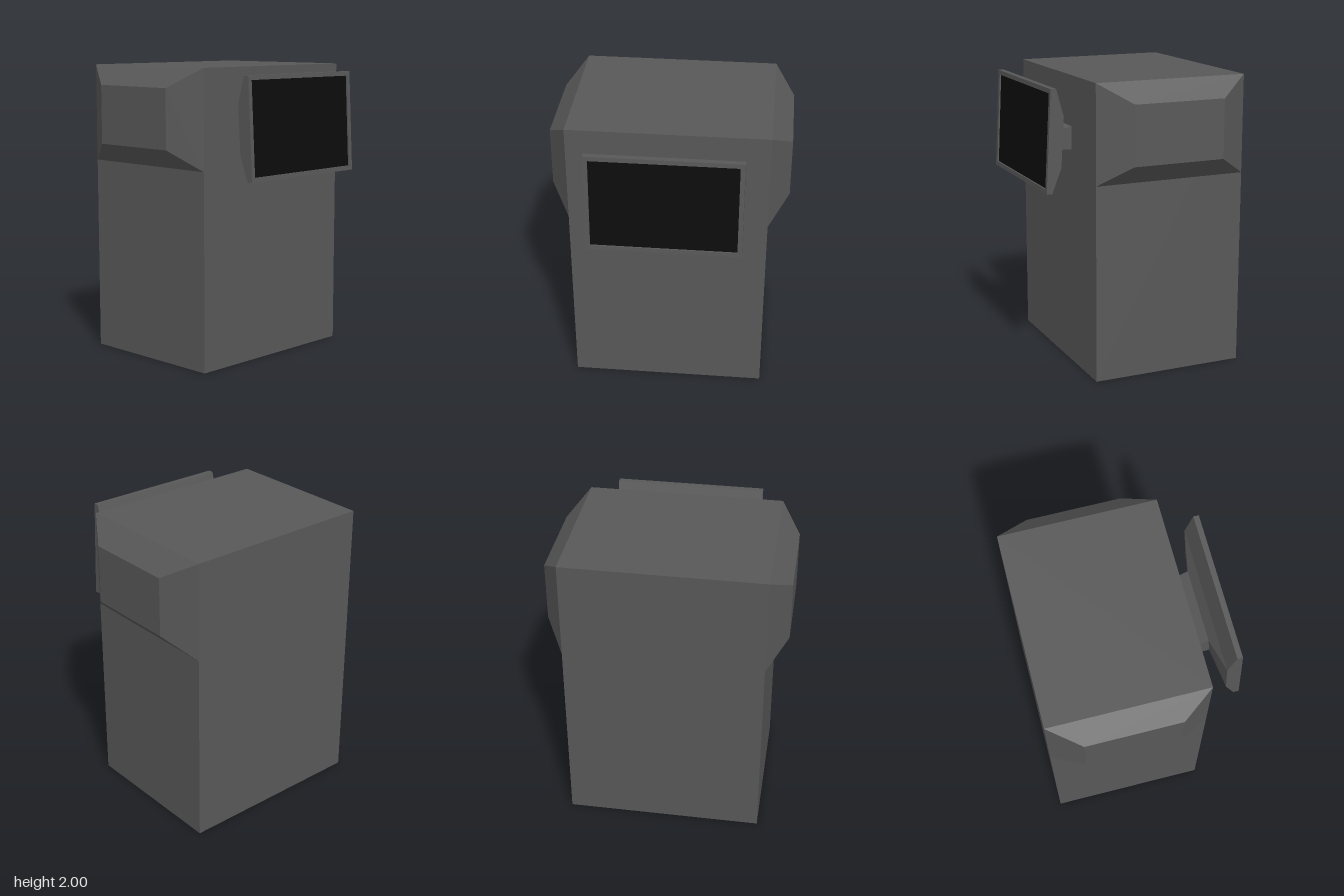
import * as THREE from 'three';

// Skin a series of four-cornered rings, each listed counter-clockwise as seen from the last ring's side.
function loft(rings, cap) {
  const pos = [];
  const quad = (a, b, c, d) => pos.push(...a, ...b, ...c, ...a, ...c, ...d);
  for (let i = 0; i < rings.length - 1; i++) {
    const p = rings[i], q = rings[i + 1];
    for (let k = 0; k < 4; k++) {
      const n = (k + 1) % 4;
      quad(p[k], p[n], q[n], q[k]);
    }
  }
  if (cap) quad(...rings[rings.length - 1]);
  const geo = new THREE.BufferGeometry();
  geo.setAttribute('position', new THREE.Float32BufferAttribute(pos, 3));
  geo.computeVertexNormals();
  return geo;
}

// Ring facing +z: half width, top (y, z) and bottom (y, z)
const frontRing = (w, ty, tz, by, bz) => [[-w, by, bz], [w, by, bz], [w, ty, tz], [-w, ty, tz]];

// Ring facing outwards on one side of the cabinet
function sideRing(side, x, y0, y1, z0, z1) {
  const r = [[side * x, y0, z1], [side * x, y0, z0], [side * x, y1, z0], [side * x, y1, z1]];
  return side > 0 ? r : r.reverse();
}

export function createModel() {
  const grey = new THREE.MeshStandardMaterial({ color: 0x585858 });
  grey.name = 'dark grey casing';
  const black = new THREE.MeshStandardMaterial({ color: 0x0c0c0c });
  black.name = 'black screen';

  const model = new THREE.Group();
  model.name = 'cabinetWithMonitor';
  const add = (name, geo, mat) => {
    const mesh = new THREE.Mesh(geo, mat);
    mesh.name = name;
    model.add(mesh);
    return mesh;
  };

  // Main cabinet
  add('cabinet', new THREE.BoxGeometry(1.33, 2, 1.065), grey).position.set(0, 1, -0.1375);

  // Bevelled bulges on both sides
  for (const side of [1, -1]) {
    add(side > 0 ? 'leftBulge' : 'rightBulge', loft([
      sideRing(side, 0.665, 1.335, 2, -0.67, 0.395),
      sideRing(side, 0.8, 1.47, 1.87, -0.455, 0.185),
    ], true), grey);
  }

  // Monitor: neck, flared back, tilted frame and recessed bezel
  const screenRing = frontRing(0.48, 1.925, 0.629, 1.305, 0.661);
  add('monitorHousing', loft([
    frontRing(0.255, 1.66, 0.39, 1.5, 0.39),
    frontRing(0.255, 1.65, 0.44, 1.505, 0.44),
    frontRing(0.255, 1.69, 0.505, 1.513, 0.52),
    frontRing(0.51, 1.775, 0.55, 1.44, 0.57),
    frontRing(0.51, 1.955, 0.6, 1.275, 0.635),
    frontRing(0.51, 1.955, 0.637, 1.275, 0.673),
    frontRing(0.48, 1.925, 0.639, 1.305, 0.671),
    screenRing,
  ], false), grey);

  // Screen closes the recess
  add('screen', loft([screenRing], true), black);

  return model;
}
